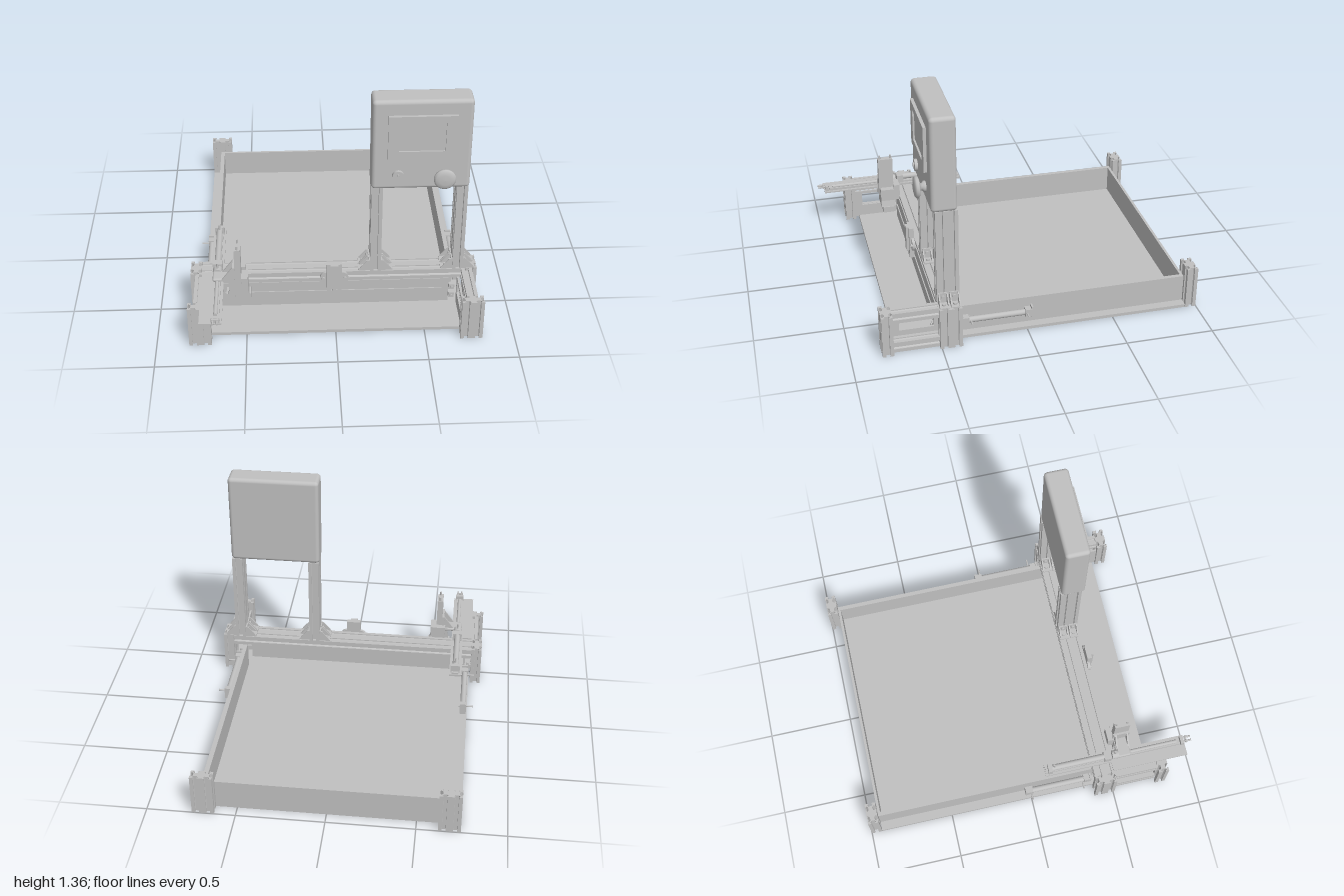
import * as THREE from 'three';
import { RoundedBoxGeometry } from 'three/addons/geometries/RoundedBoxGeometry.js';

const U = 0.0625; // width of one profile cell

// T-slotted aluminium profile outline, nx by ny cells, counter-clockwise
function slotShape(nx, ny) {
  const pts = [];
  const w = nx * U, h = ny * U;
  const sides = [
    [-w / 2, -h / 2, 1, 0, nx], [w / 2, -h / 2, 0, 1, ny],
    [w / 2, h / 2, -1, 0, nx], [-w / 2, h / 2, 0, -1, ny],
  ];
  const notch = [[-0.011, 0], [-0.011, 0.006], [-0.018, 0.006], [-0.01, 0.018],
    [0.01, 0.018], [0.018, 0.006], [0.011, 0.006], [0.011, 0]];
  for (const [x, y, dx, dy, n] of sides) {
    pts.push(new THREE.Vector2(x, y));
    for (let i = 0; i < n; i++) {
      for (const [a, d] of notch) {
        const t = (i + 0.5) * U + a;
        pts.push(new THREE.Vector2(x + dx * t - dy * d, y + dy * t + dx * d));
      }
    }
  }
  return new THREE.Shape(pts);
}

export function createModel() {
  const root = new THREE.Group();
  root.name = 'machineFrame';
  const grey = new THREE.MeshStandardMaterial({ color: 0xc0c0c0 });
  grey.name = 'aluminiumGrey';

  const add = (name, geo, x = 0, y = 0, z = 0) => {
    const m = new THREE.Mesh(geo, grey);
    m.name = name;
    m.position.set(x, y, z);
    root.add(m);
    return m;
  };
  // Box given by its min and max on each axis
  const box = (name, x0, x1, y0, y1, z0, z1) =>
    add(name, new THREE.BoxGeometry(x1 - x0, y1 - y0, z1 - z0),
      (x0 + x1) / 2, (y0 + y1) / 2, (z0 + z1) / 2);
  const turn = (geo, axis) => {
    if (axis === 'y') geo.rotateX(-Math.PI / 2);
    if (axis === 'x') geo.rotateY(Math.PI / 2);
    return geo;
  };
  const extrude = (shape, depth) =>
    new THREE.ExtrudeGeometry(shape, { depth, bevelEnabled: false, curveSegments: 12 }).translate(0, 0, -depth / 2);
  // Slotted bar centred at a point, running along an axis
  const bar = (name, nx, ny, len, axis, x, y, z) =>
    add(name, turn(extrude(slotShape(nx, ny), len), axis), x, y, z);
  // Round rod centred at a point, running along an axis
  const rod = (name, r, len, axis, x, y, z, seg = 20) => {
    const g = new THREE.CylinderGeometry(r, r, len, seg);
    if (axis === 'z') g.rotateX(Math.PI / 2);
    if (axis === 'x') g.rotateZ(Math.PI / 2);
    return add(name, g, x, y, z);
  };
  const poly = (pts) => new THREE.Shape(pts.map(([x, y]) => new THREE.Vector2(x, y)));

  // Tray: floor and walls
  box('floorPlate', -0.745, 0.743, 0, 0.018, -0.935, 0.745);
  box('backWall', -0.69, 0.69, 0.018, 0.178, -0.935, -0.92);
  box('frontWall', -0.66, 0.66, 0.018, 0.178, 0.49, 0.505);
  box('frontWallPanel', -0.625, 0.62, 0.035, 0.115, 0.505, 0.511);
  for (const s of [-1, 1]) {
    box('sideWall', s * 0.68 - 0.012, s * 0.68 + 0.012, 0.018, 0.178, -0.935, 0.4);

    // Corner posts and side rails
    bar('backPost', 2, 1, 0.25, 'y', s * 0.683, 0.125, -0.968);
    bar('frontPost', 2, 1, 0.25, 'y', s * 0.757, 0.125, 0.797);
    bar('middlePost', 1, 2, 0.25, 'y', s * 0.786, 0.125, 0.446);
    bar('sideRail', 1, 1, 0.26, 'z', s * 0.757, 0.219, 0.637);
    bar('lowerSideRail', 1, 1, 0.26, 'z', s * 0.757, 0.0315, 0.637);

    // Windowed panel between the front and middle posts
    const panel = poly([[-0.765, 0.018], [-0.505, 0.018], [-0.505, 0.19], [-0.765, 0.19]]);
    panel.holes.push(poly([[-0.72, 0.09], [-0.72, 0.172], [-0.525, 0.172], [-0.525, 0.09]]));
    add('sideWindowPanel', turn(extrude(panel, 0.012), 'x'), s * 0.712, 0, 0);
    for (const y of [0.075, 0.135]) {
      box('wallClip', s * 0.675 - 0.016, s * 0.675 + 0.016, y - 0.016, y + 0.016, 0.505, 0.53);
      rod('wallClipBolt', 0.008, 0.01, 'z', s * 0.675, y, 0.534, 12);
    }

    // Strut along the outside of each wall
    const sx = s * 0.72;
    rod('strutTube', 0.017, 0.34, 'z', sx, 0.102, 0.165);
    for (const z of [-0.01, 0.35]) {
      box('strutEnd', sx - 0.02, sx + 0.02, 0.08, 0.125, z - 0.02, z + 0.02);
      box('strutFlange', sx - 0.018, sx + 0.018, 0.067, 0.138, z + Math.sign(z) * 0.02 - 0.005, z + Math.sign(z) * 0.02 + 0.005);
    }
    for (const z of [0, 0.32]) rod('strutPin', 0.005, 0.09, 'x', s * 0.735, 0.102, z, 10);
  }

  // Cross beam
  bar('crossBeam', 2, 1, 1.508, 'x', 0, 0.215, 0.446);

  // Display uprights with corner brackets
  for (const x of [0.236, 0.706]) {
    bar('displayUpright', 1, 2, 0.57, 'y', x, 0.531, 0.446);
    for (const s of [-1, 1]) {
      for (const z of [0.415, 0.477]) {
        const px = x + s * 0.0315;
        box('bracketFoot', Math.min(px, px + s * 0.066), Math.max(px, px + s * 0.066), 0.247, 0.255, z - 0.026, z + 0.026);
        box('bracketBack', Math.min(px, px + s * 0.008), Math.max(px, px + s * 0.008), 0.25, 0.315, z - 0.026, z + 0.026);
        for (const dz of [-0.023, 0.023]) {
          const gusset = s > 0
            ? poly([[0, 0], [0.062, 0], [0.055, 0.015], [0.015, 0.062], [0, 0.065]])
            : poly([[0, 0], [0, 0.065], [-0.015, 0.062], [-0.055, 0.015], [-0.062, 0]]);
          add('bracketGusset', extrude(gusset, 0.006), px, 0.25, z + dz);
        }
        rod('bracketBolt', 0.012, 0.012, 'y', px + s * 0.035, 0.259, z, 12);
        rod('bracketBolt', 0.012, 0.012, 'x', px + s * 0.012, 0.288, z, 12);
      }
    }
  }

  // Display housing
  add('displayHousing', new RoundedBoxGeometry(0.54, 0.548, 0.143, 4, 0.022), 0.47, 1.086, 0.457);
  const bezel = poly([[0.285, 1.015], [0.655, 1.015], [0.655, 1.275], [0.285, 1.275]]);
  bezel.holes.push(poly([[0.345, 1.06], [0.345, 1.235], [0.595, 1.235], [0.595, 1.06]]));
  add('screenBezel', extrude(bezel, 0.022), 0, 0, 0.535);
  box('screen', 0.34, 0.6, 1.055, 1.24, 0.528, 0.536);
  rod('keySwitch', 0.033, 0.02, 'z', 0.345, 0.902, 0.536, 28);
  const slot = rod('keySlot', 0.016, 0.008, 'z', 0.345, 0.902, 0.548);
  slot.scale.x = 0.5;
  const knob = [[0.03, 0], [0.03, 0.012], [0.02, 0.02], [0.02, 0.03], [0.05, 0.036], [0.06, 0.042],
    [0.06, 0.054], [0.05, 0.062], [0.03, 0.066], [0, 0.067]].map(([r, y]) => new THREE.Vector2(r, y));
  add('knob', new THREE.LatheGeometry(knob, 32).rotateX(Math.PI / 2), 0.595, 0.902, 0.528);

  // Centre clamp on the cross beam
  box('clampBlock', -0.043, 0.043, 0.155, 0.318, 0.512, 0.54);
  box('clampFace', -0.022, 0.022, 0.16, 0.318, 0.54, 0.555);
  for (const x of [-0.03, 0, 0.03]) box('clampLeg', x - 0.011, x + 0.011, 0.12, 0.156, 0.512, 0.54);
  for (const s of [-1, 1]) {
    const ear = rod('clampEar', 0.04, 0.016, 'z', s * 0.045, 0.215, 0.52, 28);
    ear.scale.x = 0.9;
    rod('clampBolt', 0.01, 0.012, 'z', s * 0.062, 0.215, 0.532, 12);
  }

  // Long slide on the left-hand side of the front view
  box('slidePlate', -0.75, -0.625, 0.25, 0.258, 0.5, 0.96);
  box('slideTail', -0.695, -0.625, 0.25, 0.262, 0.095, 0.5);
  box('slideRail', -0.68, -0.64, 0.258, 0.272, 0.1, 0.93);
  rod('slideScrew', 0.011, 0.3, 'z', -0.66, 0.276, 0.76);
  rod('slideCylinder', 0.018, 0.34, 'z', -0.66, 0.294, 0.3);
  box('cylinderEnd', -0.688, -0.632, 0.262, 0.312, 0.115, 0.14);
  box('cylinderEnd', -0.688, -0.632, 0.262, 0.312, 0.46, 0.5);
  rod('cylinderPin', 0.006, 0.04, 'y', -0.66, 0.322, 0.155, 10);
  box('slideStop', -0.685, -0.635, 0.258, 0.29, 0.935, 0.955);
  for (const x of [-0.672, -0.648]) rod('slideProng', 0.006, 0.06, 'z', x, 0.284, 0.97, 10);
  box('slideProngCap', -0.68, -0.64, 0.274, 0.294, 0.965, 0.972);
  rod('slideWheel', 0.026, 0.04, 'z', -0.66, 0.285, 0.53);
  rod('slideWheelPin', 0.006, 0.07, 'y', -0.66, 0.305, 0.53, 10);

  // Tool head standing beside the slide
  add('toolArm', new RoundedBoxGeometry(0.13, 0.022, 0.085, 2, 0.01), -0.62, 0.288, 0.58);
  box('toolColumn', -0.56, -0.525, 0.25, 0.495, 0.54, 0.63);
  box('toolColumnPlate', -0.572, -0.56, 0.25, 0.38, 0.535, 0.635);
  for (const z of [0.552, 0.618]) rod('toolPin', 0.006, 0.06, 'y', -0.542, 0.488, z, 10);
  const brace = poly([[-0.64, 0.285], [-0.57, 0.285], [-0.57, 0.38]]);
  for (const z of [0.55, 0.62]) add('toolBrace', extrude(brace, 0.01), 0, 0, z);
  box('toolBase', -0.595, -0.488, 0.225, 0.3, 0.54, 0.625);
  add('toolSkirt', extrude(poly([[-0.6, 0.185], [-0.482, 0.185], [-0.49, 0.225], [-0.593, 0.225]]), 0.085), 0, 0, 0.582);
  box('toolMount', -0.58, -0.5, 0.22, 0.32, 0.505, 0.542);
  for (const x of [-0.587, -0.497]) box('toolFoot', x - 0.024, x + 0.024, 0.15, 0.187, 0.55, 0.615);

  return root;
}
